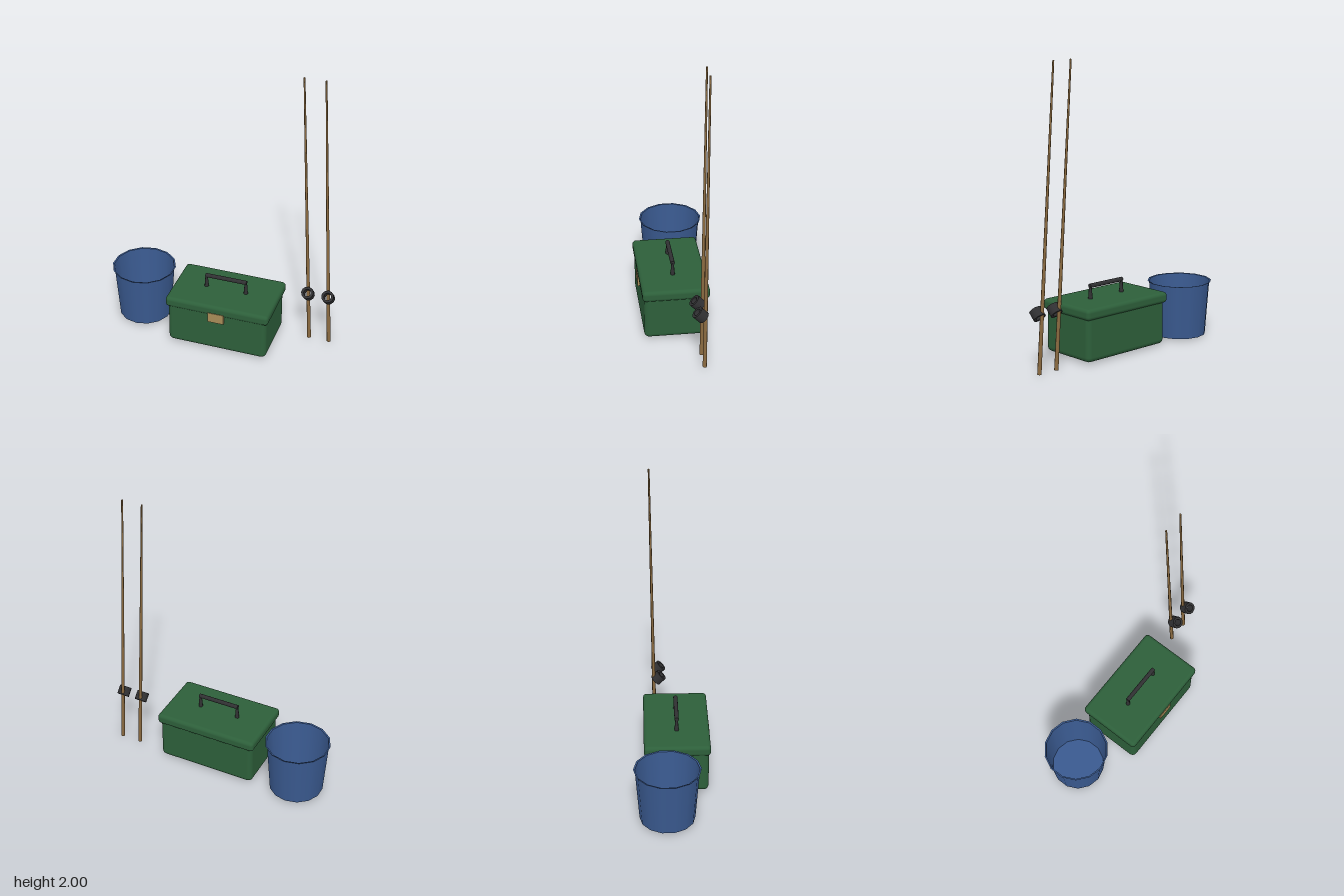
import * as THREE from 'three';
import { toCreasedNormals } from 'three/addons/utils/BufferGeometryUtils.js';
import { RoundedBoxGeometry } from 'three/addons/geometries/RoundedBoxGeometry.js';

const material = (color, side = THREE.FrontSide) => new THREE.MeshStandardMaterial({ color, side });
const green = material(0x2d5f3a);
const blue = material(0x3a5a90, THREE.DoubleSide);
const dark = material(0x303032);
const brass = material(0xa88c58);
const wood = material(0x8a6a40);

function add(parent, name, geometry, mat, x = 0, y = 0, z = 0) {
  const mesh = new THREE.Mesh(geometry, mat);
  mesh.name = name;
  mesh.position.set(x, y, z);
  parent.add(mesh);
  return mesh;
}

function group(parent, name, x, y, z) {
  const g = new THREE.Group();
  g.name = name;
  g.position.set(x, y, z);
  parent.add(g);
  return g;
}

const lathe = (points, sides) =>
  new THREE.LatheGeometry(points.map(([r, y]) => new THREE.Vector2(r, y)), sides);

// Open bucket: floor, thin tapered wall and flat lip
function buildBucket(parent) {
  const bucket = group(parent, 'bucket', -0.58, 0, -0.04);
  add(bucket, 'bucketFloor', lathe([[0, 0.005], [0.187, 0.005]], 14), blue);
  add(bucket, 'bucketWall', lathe([[0.187, 0.005], [0.215, 0.385]], 14), blue);
  add(bucket, 'bucketLip', lathe([[0.215, 0.385], [0.226, 0.387]], 14), blue);
}

// Tackle box with overhanging lid, latch and carrying handle
function buildBox(parent) {
  const box = group(parent, 'tackleBox', 0.06, 0, 0.035);
  add(box, 'boxBody', new RoundedBoxGeometry(0.71, 0.33, 0.428, 3, 0.035), green, 0, 0.173, 0.002);
  add(box, 'boxLid', new RoundedBoxGeometry(0.74, 0.075, 0.455, 3, 0.025), green, 0, 0.336, 0);
  add(box, 'latch', new THREE.BoxGeometry(0.113, 0.074, 0.022), brass, 0, 0.283, 0.22);

  for (const side of [-1, 1]) {
    add(box, 'handlePost', new THREE.CylinderGeometry(0.009, 0.016, 0.095, 8), dark, side * 0.143, 0.412, 0);
  }
  const grip = add(box, 'handleGrip', new THREE.CylinderGeometry(0.015, 0.015, 0.298, 10), dark, 0, 0.462, 0);
  grip.rotation.z = Math.PI / 2;
}

// Leaning tapered rod with a hollow reel tilted toward the front
function buildRod(parent, x) {
  const rod = group(parent, 'fishingRod', x, 0, -0.106);
  const lean = new THREE.Vector3(-0.114, 2, -0.03);
  const pole = add(rod, 'rodPole', new THREE.CylinderGeometry(0.006, 0.014, lean.length(), 8), wood);
  pole.position.copy(lean).multiplyScalar(0.5);
  pole.quaternion.setFromUnitVectors(new THREE.Vector3(0, 1, 0), lean.clone().normalize());

  const outer = 0.043, inner = 0.025, half = 0.032;
  const ring = lathe([[outer, -half], [outer, half], [inner, half], [inner, -half], [outer, -half]], 12);
  const reel = add(rod, 'reel', toCreasedNormals(ring, 0.7), dark, -0.014, 0.392, 0.029);
  reel.rotation.x = Math.PI / 4;
}

export function createModel() {
  const model = new THREE.Group();
  model.name = 'fishingGear';
  buildBucket(model);
  buildBox(model);
  for (const x of [0.631, 0.774]) buildRod(model, x);
  return model;
}
